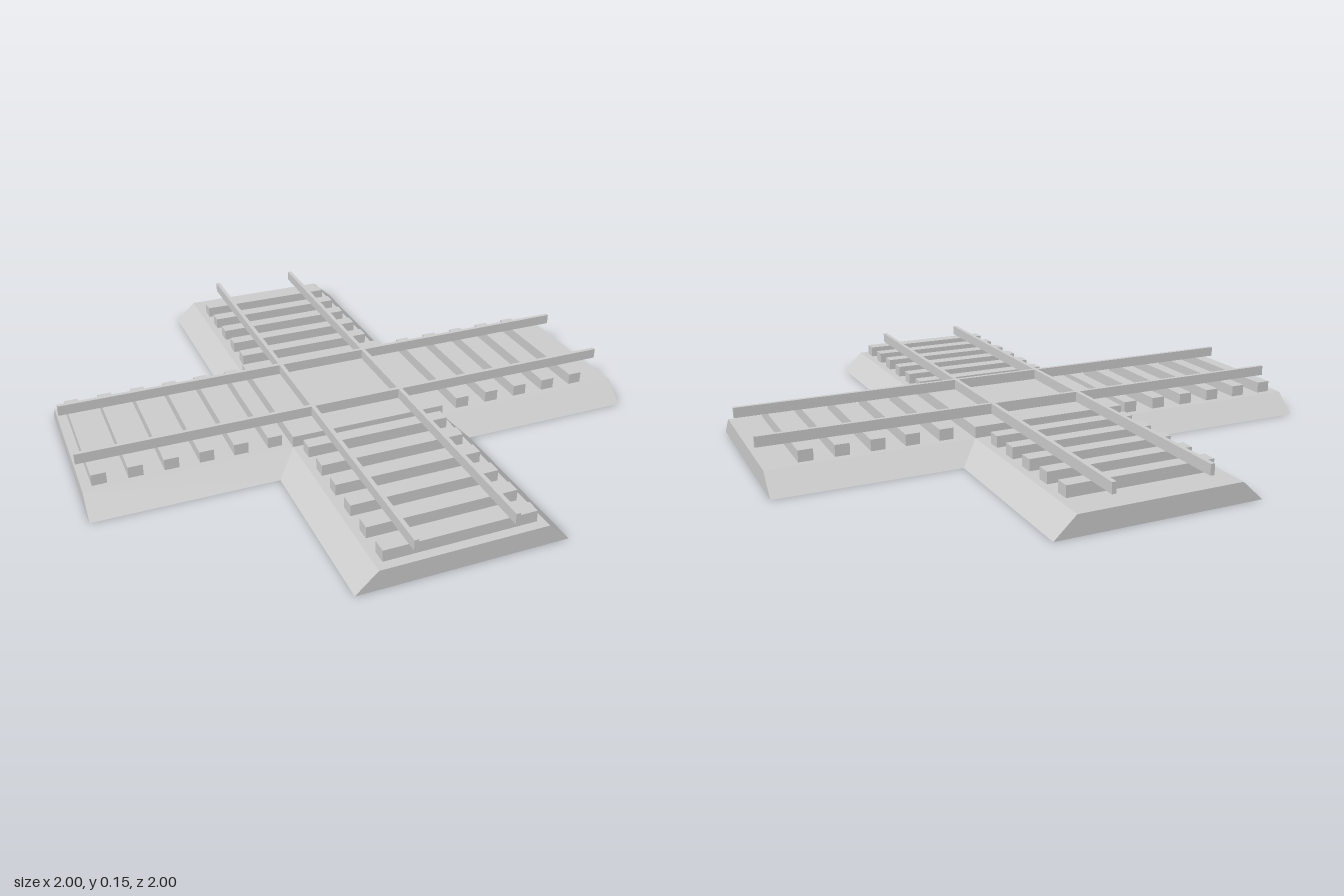
import * as THREE from 'three';

const BED_BOTTOM = 0.36, BED_TOP = 0.285, BED_H = 0.07;
const DECK_H = 0.11, RAIL_TOP = 0.147, GAUGE = 0.168;

export function createModel() {
  const model = new THREE.Group();
  model.name = 'railCrossing';
  const grey = new THREE.MeshStandardMaterial({ color: 0xcccccc });
  grey.name = 'light grey';

  const add = (parent, name, geometry) => {
    const mesh = new THREE.Mesh(geometry, grey);
    mesh.name = name;
    parent.add(mesh);
    return mesh;
  };
  // Box standing between two heights
  const block = (parent, name, w, d, y0, y1, x = 0, z = 0) =>
    add(parent, name, new THREE.BoxGeometry(w, y1 - y0, d)).position.set(x, (y0 + y1) / 2, z);

  // Cross-shaped ballast bed, long sides sloping inwards to the top
  const b = BED_BOTTOM;
  const cross = new THREE.Shape([
    [-b, -1], [b, -1], [b, -b], [1, -b], [1, b], [b, b],
    [b, 1], [-b, 1], [-b, b], [-1, b], [-1, -b], [-b, -b],
  ].map(([x, y]) => new THREE.Vector2(x, y)));
  const bed = new THREE.ExtrudeGeometry(cross, { depth: BED_H, bevelEnabled: false });
  bed.rotateX(-Math.PI / 2);
  const pos = bed.attributes.position;
  const inset = (v) => (Math.abs(v) < 0.5 ? Math.sign(v) * BED_TOP : v);
  for (let i = 0; i < pos.count; i++) {
    if (pos.getY(i) > BED_H / 2) {
      pos.setX(i, inset(pos.getX(i)));
      pos.setZ(i, inset(pos.getZ(i)));
    }
  }
  bed.computeVertexNormals();
  add(model, 'ballastBed', bed);

  // Raised square deck at the crossing
  block(model, 'crossingDeck', BED_TOP * 2, BED_TOP * 2, BED_H, DECK_H);

  // One track along x, the other turned a quarter to run along z
  for (const [name, turn] of [['trackAcross', 0], ['trackLengthwise', Math.PI / 2]]) {
    const track = new THREE.Group();
    track.name = name;
    track.rotation.y = turn;
    for (let i = 0; i < 16; i++) {
      const x = -0.941 + 0.12 * i;
      if (Math.abs(x) > 0.3) block(track, 'sleeper', 0.05, 0.518, BED_H, DECK_H, x);
    }
    for (const side of [-1, 1]) {
      block(track, 'rail', 2, 0.015, DECK_H, RAIL_TOP, 0, side * GAUGE);
    }
    model.add(track);
  }
  return model;
}
